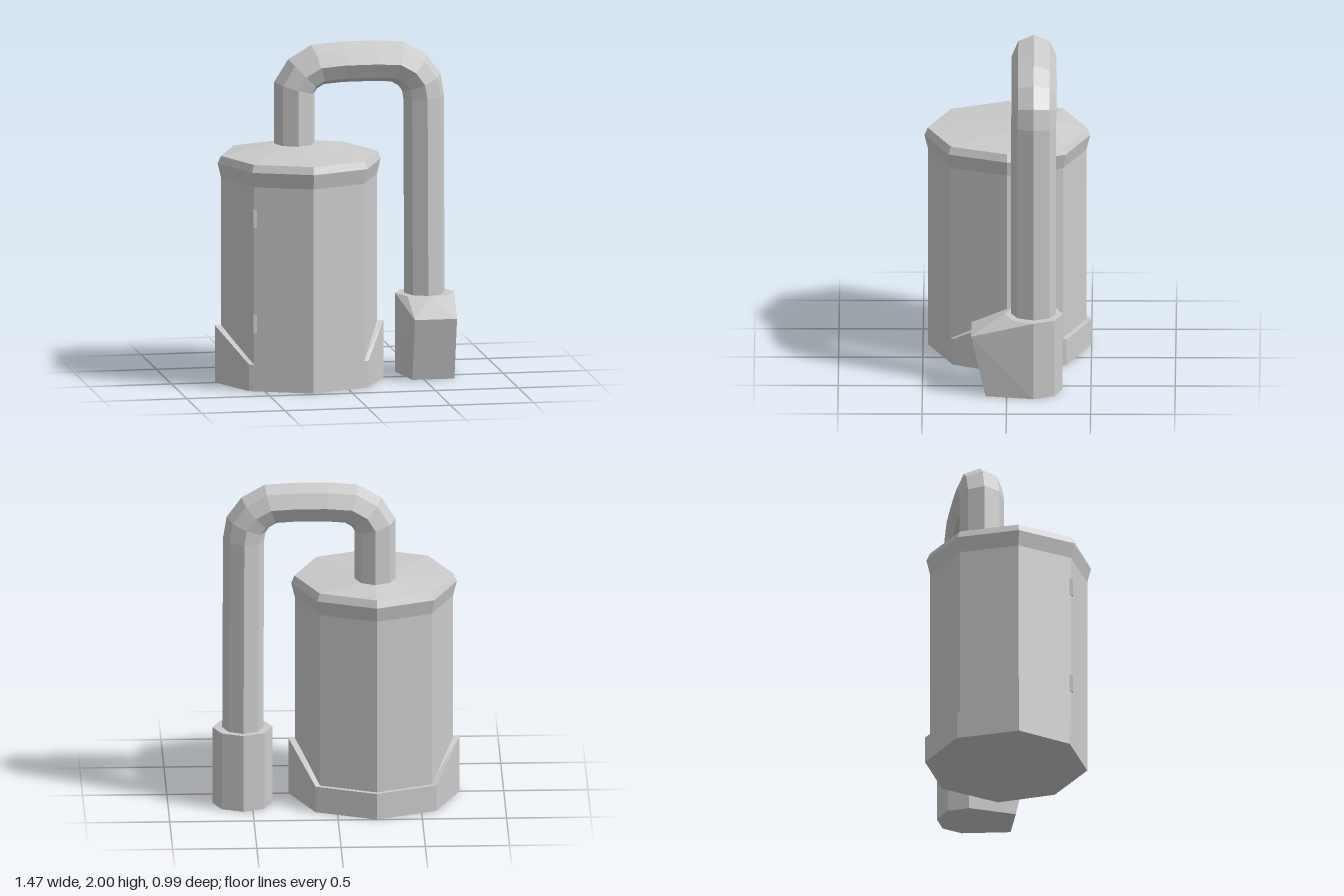
import * as THREE from 'three';
import { ConvexGeometry } from 'three/addons/geometries/ConvexGeometry.js';

const grey = new THREE.MeshStandardMaterial({ color: 0xcccccc, flatShading: true });
const BODY_X = -0.23, PIPE_Z = -0.16, SIDES = 8;

function add(parent, name, geometry, x = 0, y = 0, z = 0) {
  const mesh = new THREE.Mesh(geometry, grey);
  mesh.name = name;
  mesh.position.set(x, y, z);
  parent.add(mesh);
  return mesh;
}

// Joins equal-sized closed cross-sections (counter-clockwise along the path) and caps both ends
function loft(rings) {
  const n = rings[0].length, index = [];
  const last = (rings.length - 1) * n;
  for (let i = 0; i < rings.length - 1; i++) {
    for (let j = 0; j < n; j++) {
      const a = i * n + j, b = i * n + (j + 1) % n;
      index.push(a, b, b + n, a, b + n, a + n);
    }
  }
  for (let j = 1; j < n - 1; j++) {
    index.push(0, j + 1, j, last, last + j, last + j + 1);
  }
  const geometry = new THREE.BufferGeometry().setFromPoints(rings.flat());
  geometry.setIndex(index);
  const flat = geometry.toNonIndexed();
  flat.computeVertexNormals();
  return flat;
}

// Eight-sided tube along a path in the xy plane, with mitred corners
function pipeGeometry(path, inPlane, depth) {
  const pts = path.map(([x, y]) => new THREE.Vector2(x, y));
  const rings = pts.map((p, i) => {
    const before = p.clone().sub(pts[Math.max(i - 1, 0)]).normalize();
    const after = pts[Math.min(i + 1, pts.length - 1)].clone().sub(p).normalize();
    const t = before.clone().add(after).normalize();
    const mitre = inPlane / Math.max(t.dot(before), t.dot(after));
    return Array.from({ length: SIDES }, (_, j) => {
      const a = j / SIDES * Math.PI * 2, c = Math.cos(a) * mitre;
      return new THREE.Vector3(p.x - t.y * c, p.y + t.x * c, Math.sin(a) * depth);
    });
  });
  return loft(rings);
}

// Raised skirt round the sides and back, peaking at the two side corners
function skirtGeometry() {
  const heights = [0.16, 0.345, 0.16, 0.16, 0.16, 0.345, 0.16];
  const rings = heights.map((h, i) => {
    const phi = (i + 1) * Math.PI / 4, s = Math.sin(phi), c = Math.cos(phi);
    const isEnd = i === 0 || i === 6;
    const inner = isEnd ? 0.47 : 0.46;
    // the two ends lie flush with the front faces of the body
    const [ox, oz] = isEnd ? [Math.sign(s) * 0.36, 0.32] : [s * 0.508, c * 0.5];
    return [
      new THREE.Vector3(s * inner, 0, c * inner),
      new THREE.Vector3(s * inner, h, c * inner),
      new THREE.Vector3(ox, h, oz),
      new THREE.Vector3(ox, 0, oz),
    ];
  });
  return loft(rings);
}

export function createModel() {
  const model = new THREE.Group();
  model.name = 'tankWithOutletPipe';

  // Octagonal tank with a flared rim
  const profile = [[0, 0], [0.47, 0], [0.47, 1.23], [0.492, 1.32], [0.472, 1.365]];
  add(model, 'tankBody',
    new THREE.LatheGeometry(profile.map(([r, y]) => new THREE.Vector2(r, y)), SIDES), BODY_X);

  // Shallow lid, skewed back towards the pipe
  const lid = new THREE.CylinderGeometry(0.13, 0.472, 0.035, SIDES);
  const pos = lid.attributes.position;
  for (let i = 0; i < pos.count; i++) {
    if (pos.getY(i) > 0) pos.setZ(i, pos.getZ(i) + PIPE_Z);
  }
  add(model, 'lid', lid, BODY_X, 1.3825);

  add(model, 'baseSkirt', skirtGeometry(), BODY_X);

  // Hinges on the front corner
  for (const y of [0.408, 1.04]) {
    add(model, 'hinge', new THREE.BoxGeometry(0.02, 0.108, 0.02), -0.557, y, 0.333);
  }

  // Bent pipe from the lid over to the outlet
  add(model, 'pipe', pipeGeometry([
    [-0.23, 1.38], [-0.23, 1.735], [-0.18, 1.815], [-0.09, 1.868], [0.06, 1.88], [0.25, 1.88],
    [0.39, 1.872], [0.48, 1.82], [0.535, 1.745], [0.55, 1.655], [0.555, 0.4],
  ], 0.122, 0.133), 0, 0, PIPE_Z);

  // Outlet box: octagonal at the back, drawn out to a leaning front panel
  const outlet = [];
  for (let j = 0; j < SIDES; j++) {
    const a = j * Math.PI / 4;
    const x = Math.sin(a) * 0.178, z = Math.cos(a) * 0.172;
    outlet.push(new THREE.Vector3(x, 0.475, z));
    if (z < 0.01) outlet.push(new THREE.Vector3(x, 0, z));
  }
  for (const x of [-0.127, 0.127]) {
    outlet.push(new THREE.Vector3(x, 0.375, 0.37), new THREE.Vector3(x, 0, 0.285));
  }
  add(model, 'outlet', new ConvexGeometry(outlet), 0.557, 0, PIPE_Z);

  return model;
}
